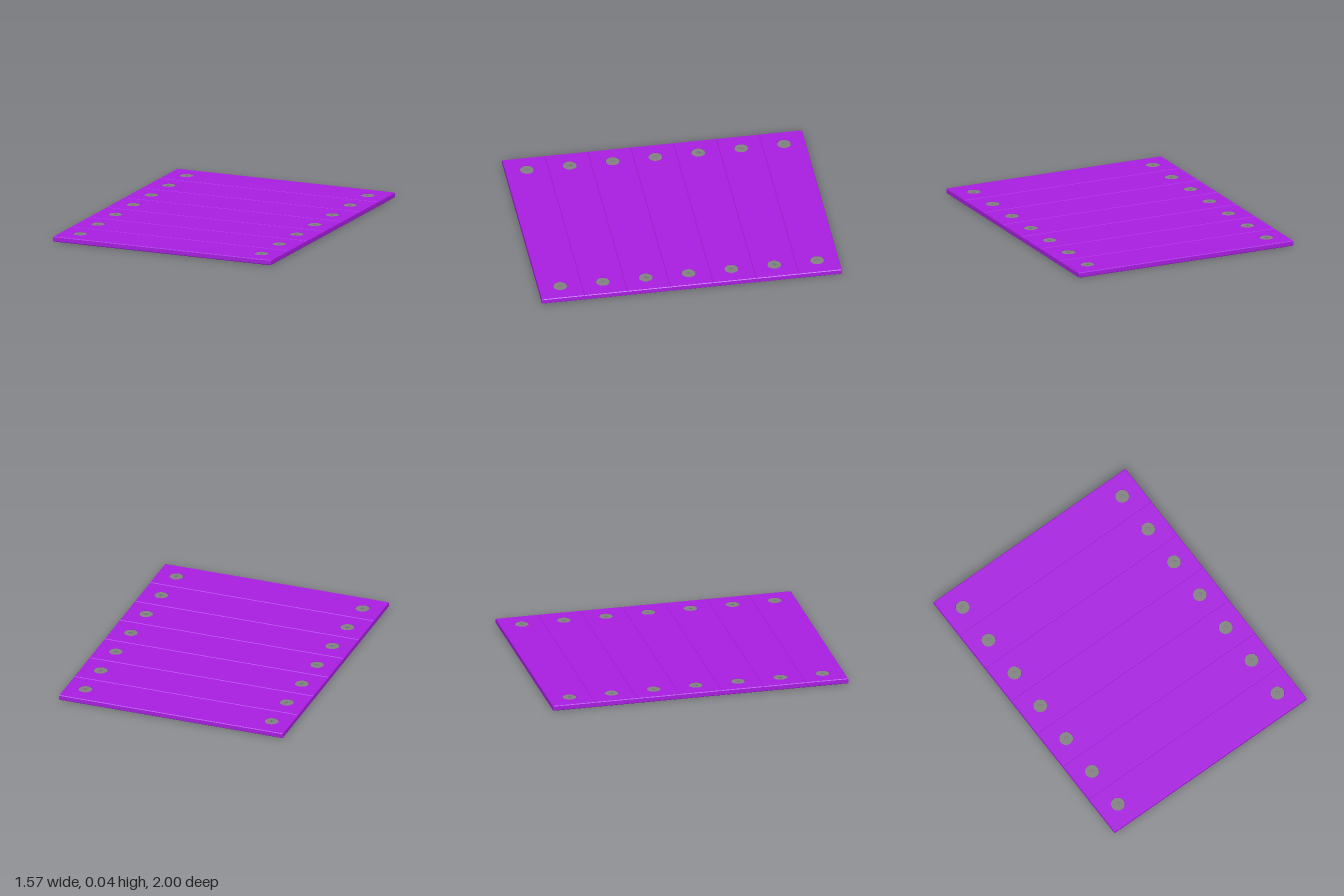
import * as THREE from 'three';

const purple = new THREE.MeshStandardMaterial({ color: 0xa81ee0, side: THREE.DoubleSide });
purple.name = 'purple board';
const steel = new THREE.MeshStandardMaterial({ color: 0x828282, side: THREE.DoubleSide });
steel.name = 'grey steel';

const COUNT = 7, PITCH = 2 / COUNT;
const LENGTH = 1.57, THICK = 0.035, BEVEL = 0.004;
const SCREW_X = 0.653, HOLE_R = 0.046, HEAD_R = 0.045;
const HEAD_TOP = THICK - 0.002, HEAD_DEPTH = 0.012, RECESS = 0.01;

const toPoints = (list) => list.map(([x, y]) => new THREE.Vector2(x, y));

// Rectangle of one plank, drawn in by an inset
function rectangle(inset) {
  const w = LENGTH / 2 - inset, d = PITCH / 2 - inset;
  return toPoints([[-w, -d], [w, -d], [w, d], [-w, d]]);
}

// Cross-shaped outline of the screw recess
function cross(a, b) {
  return toPoints([[a, -b], [a, -a], [b, -a], [b, a], [a, a], [a, b],
    [-a, b], [-a, a], [-b, a], [-b, -a], [-a, -a], [-a, -b]]);
}

// Open wall through closed outlines at rising heights, with flat faces
function wall(rings) {
  const positions = [];
  for (let r = 0; r < rings.length - 1; r++) {
    const low = rings[r], high = rings[r + 1], n = low.points.length;
    for (let i = 0; i < n; i++) {
      const j = (i + 1) % n;
      const corner = (ring, k) => [ring.points[k].x, ring.y, -ring.points[k].y];
      const a = corner(low, i), b = corner(low, j), c = corner(high, j), d = corner(high, i);
      positions.push(...a, ...b, ...c, ...a, ...c, ...d);
    }
  }
  const geometry = new THREE.BufferGeometry();
  geometry.setAttribute('position', new THREE.Float32BufferAttribute(positions, 3));
  geometry.computeVertexNormals();
  return geometry;
}

// Flat face lying at a given height
function sheet(shape, y) {
  return new THREE.ShapeGeometry(shape, 16).rotateX(-Math.PI / 2).translate(0, y, 0);
}

// Open round tube between two heights
function tube(radius, y0, y1) {
  return new THREE.CylinderGeometry(radius, radius, y1 - y0, 32, 1, true)
    .translate(0, (y0 + y1) / 2, 0);
}

function part(name, geometry, material) {
  const mesh = new THREE.Mesh(geometry, material);
  mesh.name = name;
  return mesh;
}

export function createModel() {
  const model = new THREE.Group();
  model.name = 'plankPanel';

  // Plank: chamfered shell, open underneath, with two holes
  const topShape = new THREE.Shape(rectangle(BEVEL));
  for (const side of [-1, 1]) {
    topShape.holes.push(new THREE.Path().absarc(side * SCREW_X, 0, HOLE_R, 0, Math.PI * 2, true));
  }
  const plankTop = sheet(topShape, THICK);
  const plankSides = wall([
    { points: rectangle(BEVEL), y: 0 },
    { points: rectangle(0), y: BEVEL },
    { points: rectangle(0), y: THICK - BEVEL },
    { points: rectangle(BEVEL), y: THICK },
  ]);
  const holeWall = tube(HOLE_R, 0, THICK);

  // Screw: hollow round cap with a cross recess
  const outline = cross(0.005, 0.017);
  const headShape = new THREE.Shape().absarc(0, 0, HEAD_R, 0, Math.PI * 2, false);
  headShape.holes.push(new THREE.Path(outline));
  const headTop = sheet(headShape, HEAD_TOP);
  const headRim = tube(HEAD_R, HEAD_TOP - HEAD_DEPTH, HEAD_TOP);
  const recessWall = wall([
    { points: outline, y: HEAD_TOP - RECESS },
    { points: outline, y: HEAD_TOP },
  ]);
  const recessFloor = sheet(new THREE.Shape(outline), HEAD_TOP - RECESS);

  for (let i = 0; i < COUNT; i++) {
    const row = new THREE.Group();
    row.name = `plankRow${i + 1}`;
    row.position.z = (i - (COUNT - 1) / 2) * PITCH;
    row.add(part('plankTop', plankTop, purple), part('plankSides', plankSides, purple));

    for (const side of [-1, 1]) {
      const screw = new THREE.Group();
      screw.name = side > 0 ? 'leftScrew' : 'rightScrew';
      screw.position.x = side * SCREW_X;
      screw.add(
        part('holeWall', holeWall, purple),
        part('headTop', headTop, steel),
        part('headRim', headRim, steel),
        part('recessWall', recessWall, steel),
        part('recessFloor', recessFloor, steel),
      );
      row.add(screw);
    }
    model.add(row);
  }
  return model;
}
